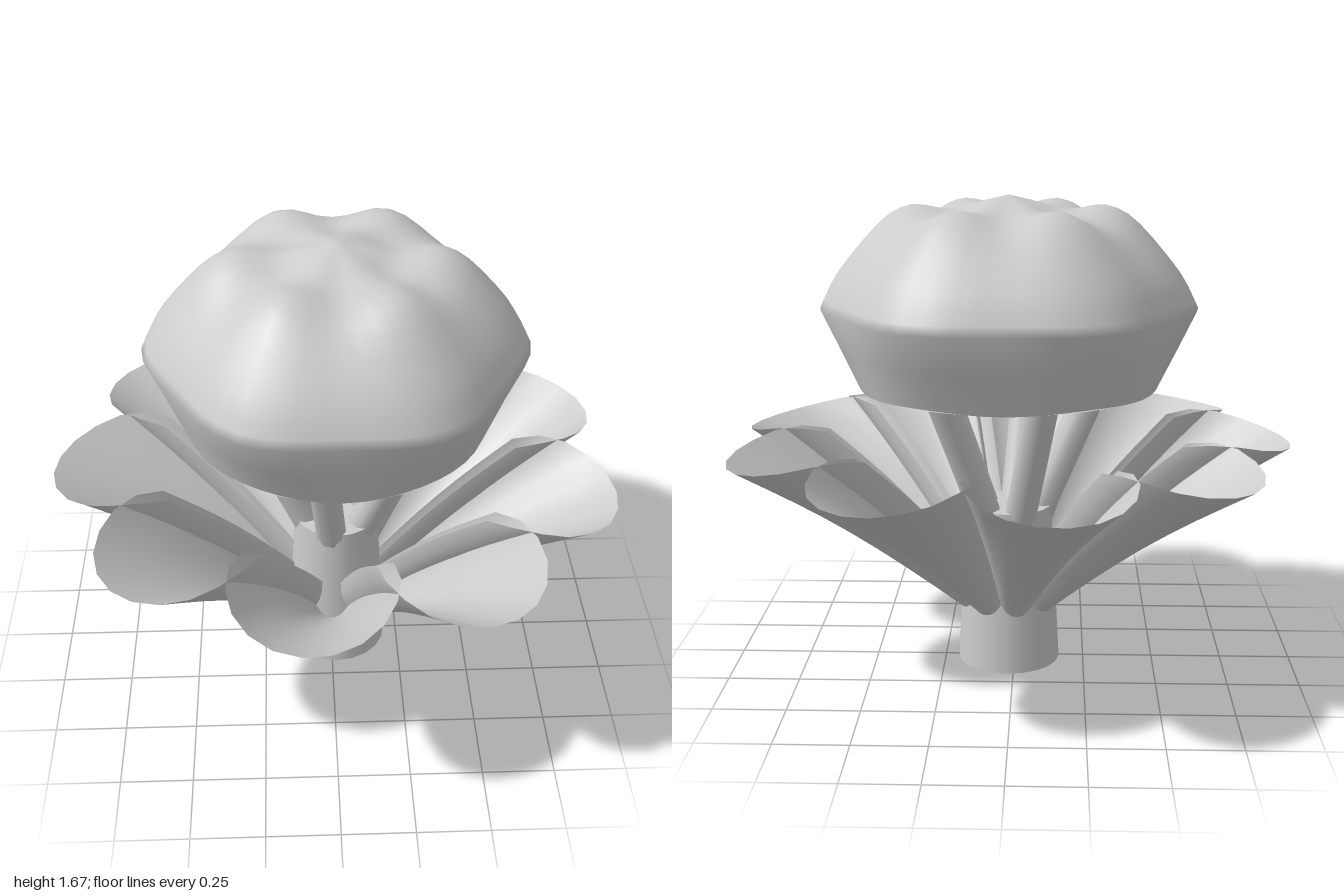
import * as THREE from 'three';
import { mergeVertices } from 'three/addons/utils/BufferGeometryUtils.js';

const lerp = THREE.MathUtils.lerp;

// Weld a geometry and give it smooth normals
function smooth(geo) {
  geo.deleteAttribute('uv');
  geo.deleteAttribute('normal');
  const out = mergeVertices(geo, 1e-4);
  out.computeVertexNormals();
  return out;
}

// Half-open funnel: a small arc on the stem lofted to a wide arc at the rim, pointing to +x
function petalGeometry() {
  const across = 12, along = 8, spread = 2.05;
  const pos = [], index = [];
  for (let j = 0; j <= along; j++) {
    const t = j / along;
    for (let i = 0; i <= across; i++) {
      const a = (i / across * 2 - 1) * spread;
      const c = Math.cos(a), s = Math.sin(a);
      const x = lerp(0.115 + 0.06 * c, 0.715 + 0.28 * c, t);
      const z = lerp(0.062 * s, 0.275 * s, t);
      const rimY = 0.80 + 0.065 * Math.min(1, 1 - c) - 0.04 * Math.max(0, -c);
      const y = lerp(0.21 + 0.06 * (1 - c), rimY, t) + 0.03 * Math.sin(Math.PI * t);
      pos.push(x, y, z);
      if (i < across && j < along) {
        const k = j * (across + 1) + i, n = k + across + 1;
        index.push(k, n, k + 1, k + 1, n, n + 1);
      }
    }
  }
  const geo = new THREE.BufferGeometry();
  geo.setAttribute('position', new THREE.Float32BufferAttribute(pos, 3));
  geo.setIndex(index);
  geo.computeVertexNormals();
  return geo;
}

// Six-lobed dome with a softly hexagonal outline
function capGeometry() {
  const upper = new THREE.SplineCurve([
    [0.63, 1.285], [0.565, 1.41], [0.43, 1.56], [0.32, 1.615], [0.2, 1.615], [0.1, 1.645], [0, 1.67],
  ].map(p => new THREE.Vector2(...p))).getPoints(18);
  upper[18].x = 0;
  const profile = [new THREE.Vector2(0.52, 1.02), new THREE.Vector2(0.577, 1.155), ...upper];
  const geo = new THREE.LatheGeometry(profile, 48);
  const p = geo.attributes.position;
  for (let i = 0; i < p.count; i++) {
    const x = p.getX(i), y = p.getY(i), z = p.getZ(i);
    const r = Math.hypot(x, z), lobe = Math.cos(6 * Math.atan2(z, x));
    const hex = 1 + 0.035 * lobe * THREE.MathUtils.smoothstep(y, 1.02, 1.28);
    const bump = 0.022 * lobe * Math.exp(-(((r - 0.34) / 0.13) ** 2));
    p.setXYZ(i, x * hex, y + bump, z * hex);
  }
  return smooth(geo);
}

export function createModel() {
  const group = new THREE.Group();
  const grey = new THREE.MeshStandardMaterial({ color: 0xcccccc, side: THREE.DoubleSide });
  grey.name = 'plain grey';
  const flower = new THREE.Group();
  flower.name = 'flower';
  flower.position.x = 0.02;
  group.add(flower);
  const add = (geo, name) => {
    const mesh = new THREE.Mesh(geo, grey);
    mesh.name = name;
    flower.add(mesh);
    return mesh;
  };

  // Stem, tapering up inside the petals
  add(new THREE.CylinderGeometry(0.168, 0.182, 0.26, 20), 'stem').position.y = 0.13;
  add(new THREE.CylinderGeometry(0.15, 0.168, 0.32, 20), 'innerStem').position.y = 0.42;

  // Nine petals around the stem
  const petal = petalGeometry();
  for (let k = 0; k < 9; k++) {
    add(petal, 'petal' + (k + 1)).rotation.y = -THREE.MathUtils.degToRad(18 + 40 * k);
  }

  // Five leaning filaments that carry the cap
  const filament = new THREE.TubeGeometry(new THREE.LineCurve3(
    new THREE.Vector3(0.09, 0.52, 0), new THREE.Vector3(0.32, 1.05, 0)), 1, 0.056, 10);
  for (let k = 0; k < 5; k++) {
    add(filament, 'filament' + (k + 1)).rotation.y = -THREE.MathUtils.degToRad(30 + 72 * k);
  }

  // Cap and its flat underside
  add(capGeometry(), 'cap');
  const base = add(new THREE.CircleGeometry(0.52, 48), 'capUnderside');
  base.rotation.x = Math.PI / 2;
  base.position.y = 1.02;

  return group;
}
